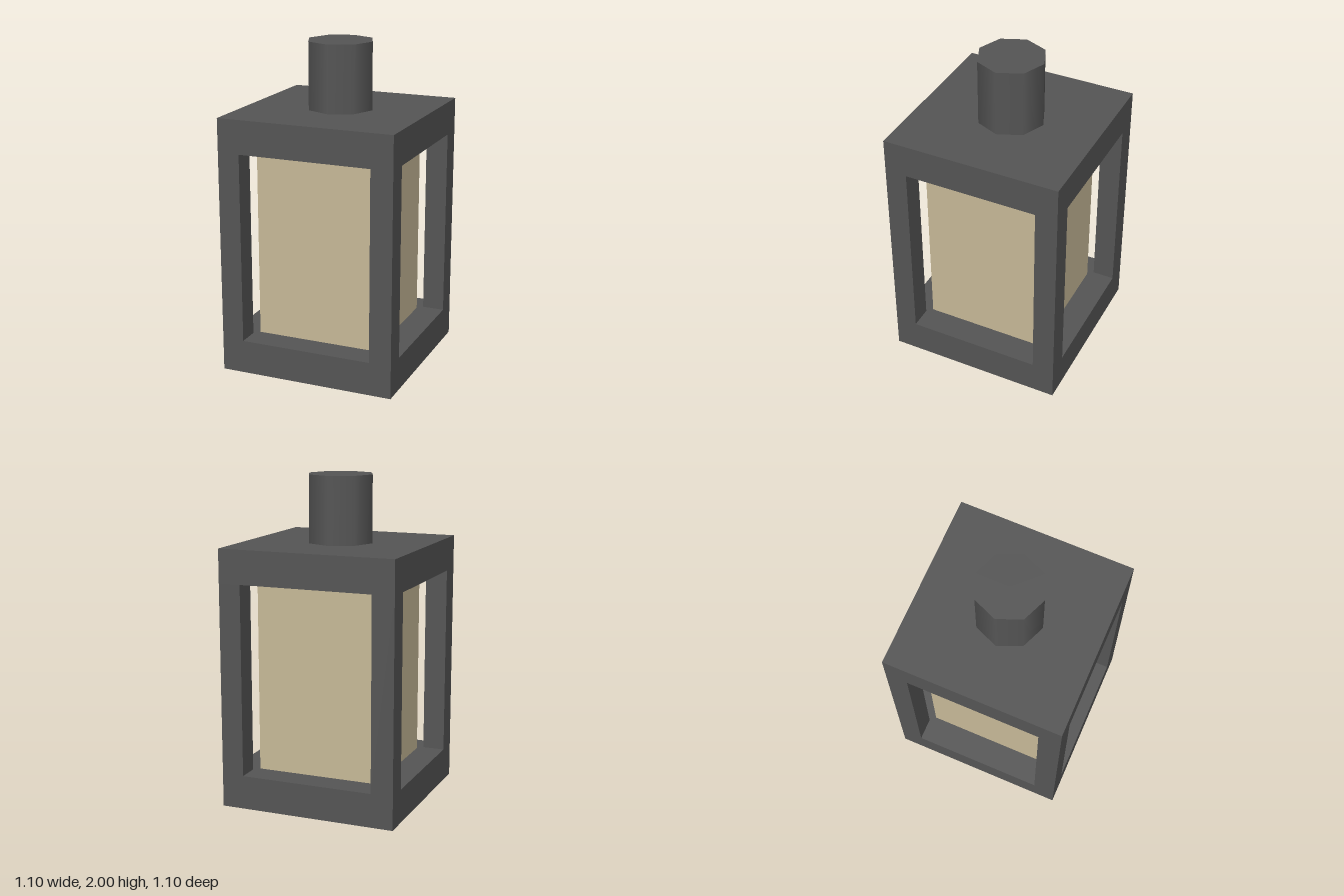
import * as THREE from 'three';

export function createModel() {
  const model = new THREE.Group();
  const metal = new THREE.MeshStandardMaterial({ color: 0x565656 });
  metal.name = 'dark grey metal';
  const glow = new THREE.MeshStandardMaterial({ color: 0xc9bb99 });
  glow.name = 'warm beige glass';

  const add = (name, geometry, material, x, y, z) => {
    const mesh = new THREE.Mesh(geometry, material);
    mesh.name = name;
    mesh.position.set(x, y, z);
    model.add(mesh);
  };

  const half = 0.55;                            // half width of the frame
  const post = 0.137;                           // thickness of a corner post
  const low = 0.207, high = 1.38, top = 1.587;  // window opening and roof heights
  const windowHeight = high - low, middle = (low + high) / 2;

  // Base and roof slabs
  add('base', new THREE.BoxGeometry(2 * half, low, 2 * half), metal, 0, low / 2, 0);
  add('roof', new THREE.BoxGeometry(2 * half, top - high, 2 * half), metal, 0, (high + top) / 2, 0);

  // Four corner posts
  const postGeometry = new THREE.BoxGeometry(post, windowHeight, post);
  const offset = half - post / 2;
  for (const [sx, xName] of [[1, 'Left'], [-1, 'Right']])
    for (const [sz, zName] of [[1, 'front'], [-1, 'back']])
      add(zName + xName + 'Post', postGeometry, metal, sx * offset, middle, sz * offset);

  // Lit core inside the frame
  add('lightCore', new THREE.BoxGeometry(0.76, windowHeight, 0.76), glow, 0, middle, 0);

  // Eight-sided cap with smooth sides
  add('cap', new THREE.CylinderGeometry(0.206, 0.206, 2 - top, 8), metal, 0, (top + 2) / 2, 0);

  return model;
}
